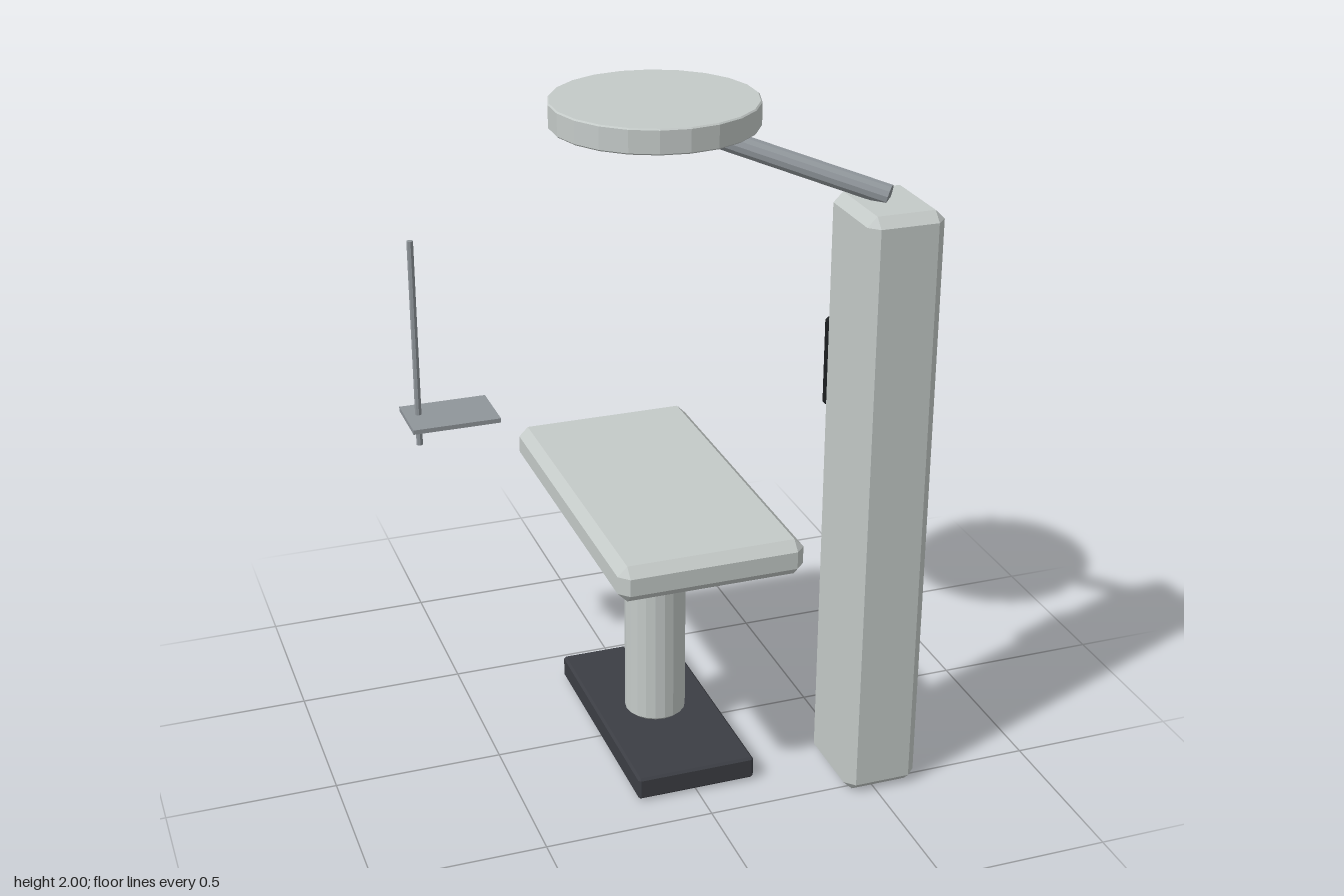
import * as THREE from 'three';
import { ConvexGeometry } from 'three/addons/geometries/ConvexGeometry.js';

const material = (name, color, flatShading = false) => {
  const m = new THREE.MeshStandardMaterial({ color, flatShading });
  m.name = name;
  return m;
};

// Box with chamfered edges and corners, given by its min and max corners
function chamferBox(min, max, bevel) {
  const c = min.map((v, i) => (v + max[i]) / 2);
  const h = min.map((v, i) => (max[i] - v) / 2);
  const points = [];
  for (const sx of [-1, 1]) for (const sy of [-1, 1]) for (const sz of [-1, 1]) {
    const s = [sx, sy, sz];
    for (let full = 0; full < 3; full++) {
      const p = s.map((v, i) => c[i] + v * (h[i] - (i === full ? 0 : bevel)));
      points.push(new THREE.Vector3(...p));
    }
  }
  return new ConvexGeometry(points);
}

// Upright cylinder with small chamfered rims
function chamferCylinder(r, y0, y1, bevel, sides) {
  const profile = [[0, y0], [r - bevel, y0], [r, y0 + bevel], [r, y1 - bevel], [r - bevel, y1], [0, y1]];
  return new THREE.LatheGeometry(profile.map(p => new THREE.Vector2(...p)), sides);
}

export function createModel() {
  const model = new THREE.Group();
  model.name = 'operatingStation';
  const pale = material('paleMetal', 0xc4cac8, true);
  const grey = material('greyMetal', 0x8f959a, true);
  const dark = material('darkBase', 0x3c3e44, true);
  const black = material('blackFrame', 0x1c1e20, true);
  const green = material('greenScreen', 0x34b055, true);

  const add = (name, geometry, mat, x = 0, y = 0, z = 0) => {
    const mesh = new THREE.Mesh(geometry, mat);
    mesh.name = name;
    mesh.position.set(x, y, z);
    model.add(mesh);
    return mesh;
  };

  // Table on its pedestal
  add('base', chamferBox([-0.18, 0.005, -0.375], [0.18, 0.075, 0.375], 0.007), dark);
  add('pedestal', chamferCylinder(0.092, 0.075, 0.737, 0.008, 20), pale);
  add('tableTop', chamferBox([-0.275, 0.737, -0.515], [0.272, 0.845, 0.507], 0.028), pale);

  // Equipment column with a monitor on its back
  add('column', chamferBox([0.408, 0, 0.267], [0.632, 1.78, 0.545], 0.028), pale);
  add('monitorFrame', chamferBox([0.417, 1.135, 0.241], [0.625, 1.4, 0.266], 0.008), black);
  add('monitorScreen', new THREE.BoxGeometry(0.172, 0.228, 0.006), green, 0.521, 1.268, 0.24);

  // Lamp head, its recessed underside and the slanted arm
  add('lampHead', chamferCylinder(0.294, 1.928, 2, 0.004, 22), pale, 0, 0, -0.004);
  add('lampLens', new THREE.CylinderGeometry(0.25, 0.25, 0.01, 22), pale, 0, 1.925, -0.004);
  const from = new THREE.Vector3(0.523, 1.793, 0.403);
  const to = new THREE.Vector3(0, 1.95, 0);
  const arm = add('lampArm', new THREE.CylinderGeometry(0.03, 0.03, from.distanceTo(to), 12), grey);
  arm.position.copy(from).lerp(to, 0.5);
  arm.quaternion.setFromUnitVectors(new THREE.Vector3(0, 1, 0), to.clone().sub(from).normalize());

  // Instrument tray on a thin pole
  add('tray', new THREE.BoxGeometry(0.27, 0.014, 0.185), grey, -0.5, 0.939, -0.453);
  add('trayPole', new THREE.CylinderGeometry(0.01, 0.01, 0.655, 8), grey, -0.593, 1.1725, -0.473);

  return model;
}
